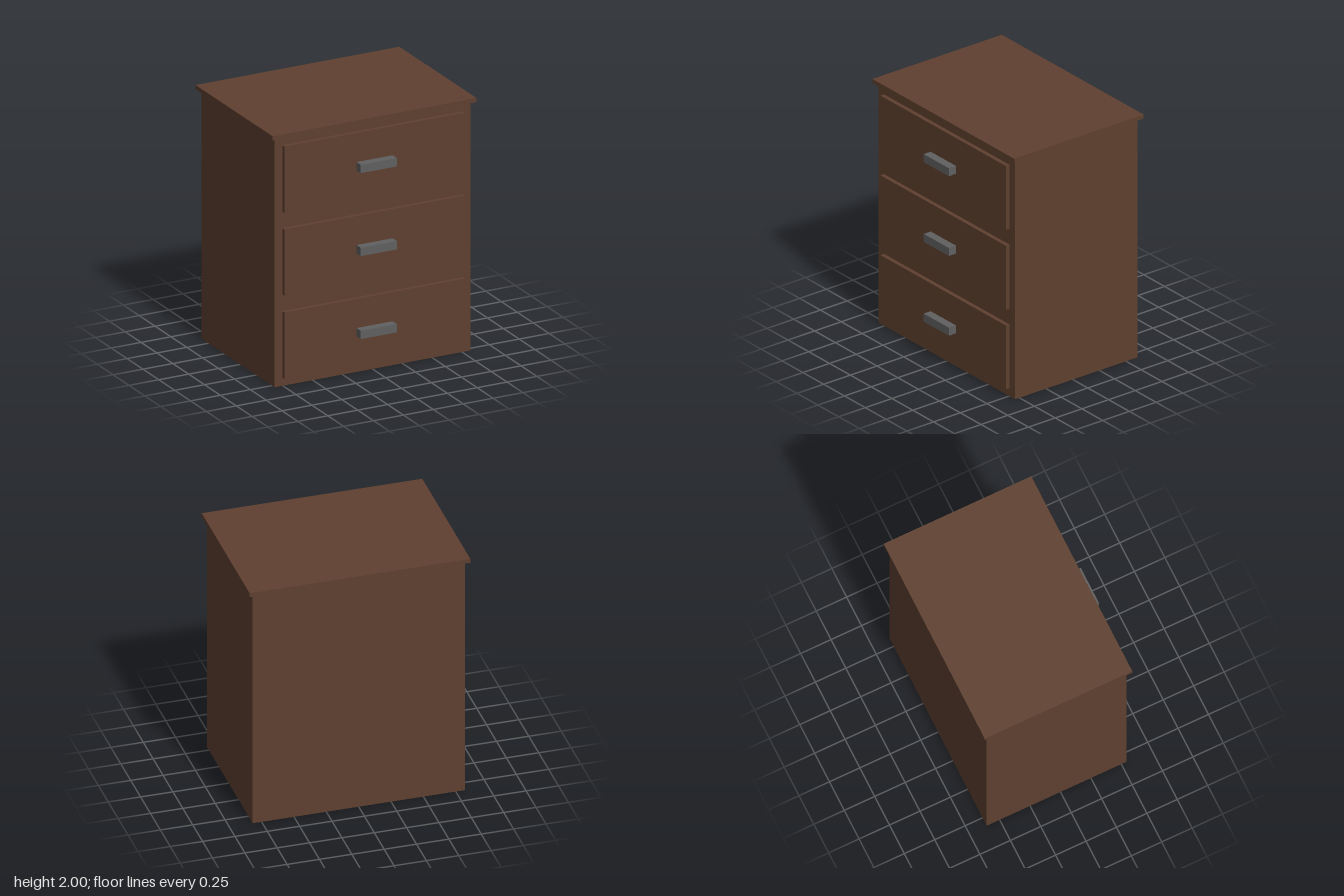
import * as THREE from 'three';

const wood = new THREE.MeshStandardMaterial({ color: 0x5f402f });
const metal = new THREE.MeshStandardMaterial({ color: 0x606060 });

// Box given by its size, centre height and front face
function box(name, [w, h, d], y, front, material) {
  const mesh = new THREE.Mesh(new THREE.BoxGeometry(w, h, d), material);
  mesh.name = name;
  mesh.position.set(0, y, front - d / 2);
  return mesh;
}

export function createModel() {
  const model = new THREE.Group();
  model.name = 'chestOfDrawers';

  const bodyHeight = 1.967, topThickness = 0.033;
  const bodyFront = 0.541, drawerFront = 0.574;

  // Carcass and overhanging top, flush with the drawer fronts
  model.add(box('body', [1.639, bodyHeight, 1.148], bodyHeight / 2, bodyFront, wood));
  model.add(box('top', [1.705, topThickness, 1.213], bodyHeight + topThickness / 2, drawerFront, wood));

  // Three evenly spaced drawers, each with a bar handle
  const pitch = bodyHeight / 3;
  for (let i = 0; i < 3; i++) {
    const y = pitch * (i + 0.5);
    const drawer = new THREE.Group();
    drawer.name = 'drawer' + (i + 1);
    drawer.add(box('drawerFront', [1.508, 0.525, 0.033], y, drawerFront, wood));
    drawer.add(box('handle', [0.302, 0.066, 0.066], y, drawerFront + 0.066, metal));
    model.add(drawer);
  }
  return model;
}
